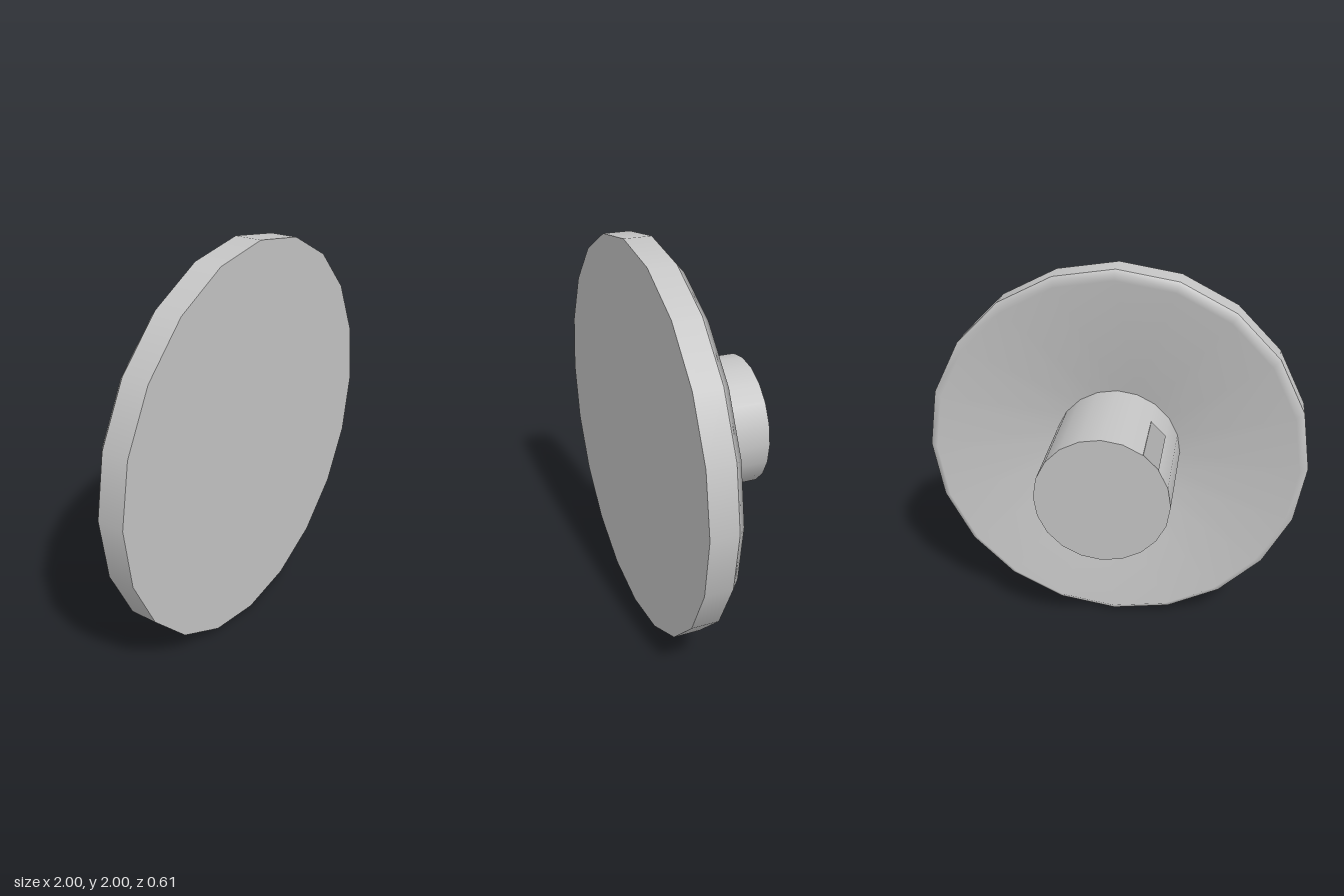
import * as THREE from 'three';

const SIDES = 20;
const HUB_R = 0.335, BACK = -0.305, FRONT = 0.305;

export function createModel() {
  const model = new THREE.Group();
  model.name = 'knob';

  const grey = new THREE.MeshStandardMaterial({ color: 0xc4c4c4 });
  grey.name = 'light grey';
  const slotGrey = new THREE.MeshStandardMaterial({ color: 0xa8a8a8 });
  slotGrey.name = 'slot grey';

  const add = (name, geometry, material = grey) => {
    const mesh = new THREE.Mesh(geometry, material);
    mesh.name = name;
    model.add(mesh);
    return mesh;
  };
  // Revolves [radius, z] points around the z axis
  const turned = (points) =>
    new THREE.LatheGeometry(points.map(([r, z]) => new THREE.Vector2(r, z)), SIDES)
      .rotateX(Math.PI / 2);

  // Disc: flat front, straight rim, bevelled edge and dished back
  add('frontFace', new THREE.CircleGeometry(1, SIDES)).position.z = FRONT;
  add('rim', turned([[1, 0.17], [1, FRONT]]));
  add('dishedBack', turned([[0.33, 0.26], [0.955, 0.13], [1, 0.17]]));

  // Hub, rooted in the dish
  const hubLength = 0.265 - BACK;
  add('hub', new THREE.CylinderGeometry(HUB_R, HUB_R, hubLength, SIDES).rotateX(Math.PI / 2))
    .position.z = BACK + hubLength / 2;

  // Keyway: thin plate on one upper facet of the hub
  const half = Math.PI / SIDES;
  const keyway = add('keyway',
    new THREE.BoxGeometry(2 * HUB_R * Math.sin(half), 0.006, 0.355), slotGrey);
  const apothem = HUB_R * Math.cos(half);
  keyway.rotation.z = Math.PI / 4;
  keyway.position.set(-apothem * Math.SQRT1_2, apothem * Math.SQRT1_2, BACK + 0.1775);

  model.children.forEach((part) => { part.position.y += 1; });
  return model;
}
